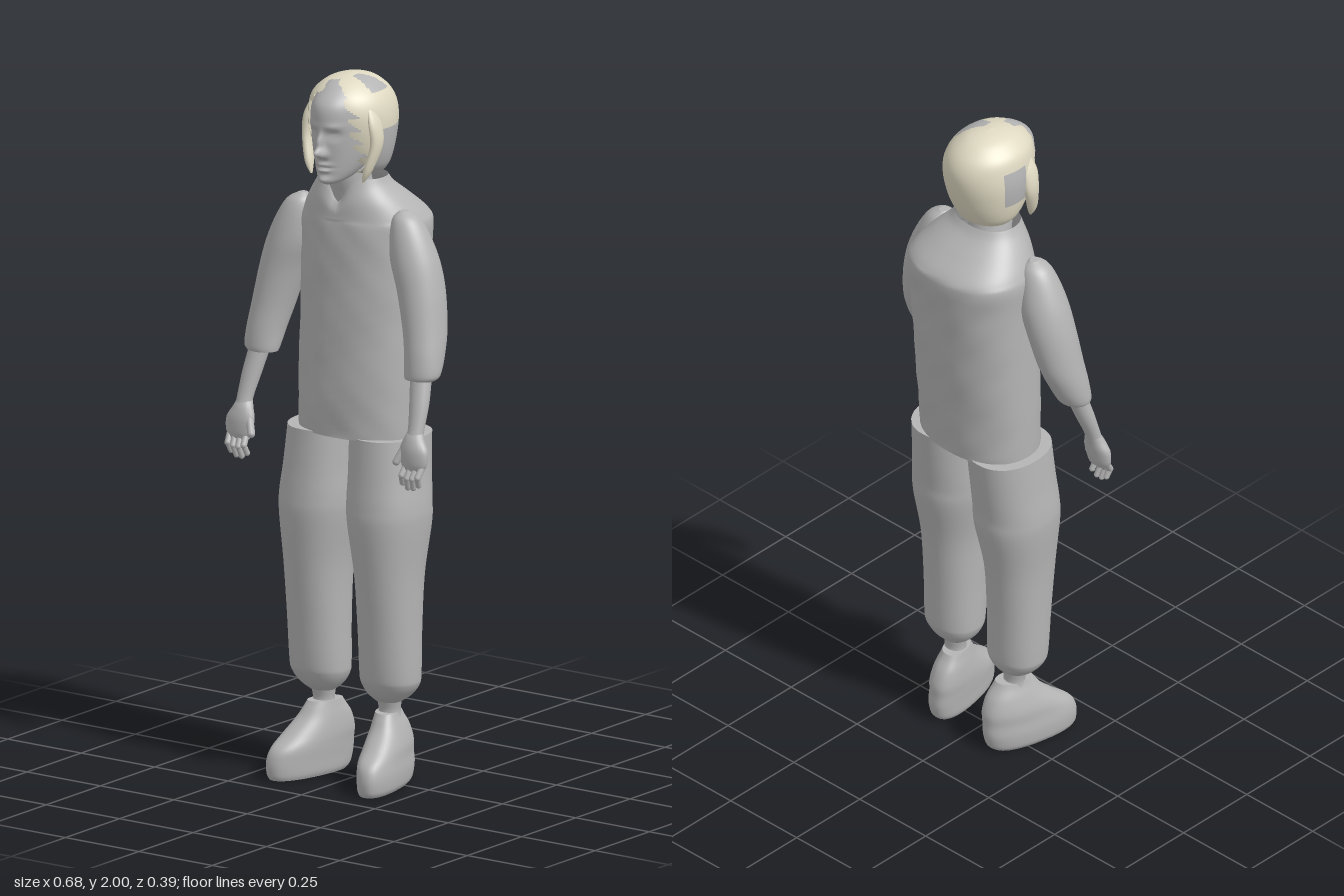
import * as THREE from 'three';

const grey = new THREE.MeshStandardMaterial({ color: 0xb4b4b4, side: THREE.DoubleSide });
grey.name = 'plain grey';
const blond = new THREE.MeshStandardMaterial({ color: 0xdfd9c2, side: THREE.DoubleSide });
blond.name = 'pale blond';

// One Catmull-Rom value per column of the section table
function sample(rows, t) {
  const n = rows.length - 1, i = Math.min(Math.floor(t * n), n - 1), f = t * n - i;
  const at = k => rows[Math.max(0, Math.min(n, k))];
  const [a, b, c, d] = [at(i - 1), at(i), at(i + 1), at(i + 2)];
  return b.map((v, k) => v + 0.5 * f * (c[k] - a[k] + f * (2 * a[k] - 5 * v + 4 * c[k] - d[k]
    + f * (3 * (v - c[k]) + d[k] - a[k]))));
}

// Skin through horizontal sections [y, centre x, centre z, radius x, radius z], lowest first.
// square < 1 flattens the sides, warp moves a vertex, pick chooses material 0 or 1, or -1 for a gap.
function loft(rows, { segs = 32, steps = 6, square = 1, warp, pick = () => 0, top = true, bottom = true } = {}) {
  const m = (rows.length - 1) * steps, pos = [], faces = [[], []], p = new THREE.Vector3();
  const pw = v => Math.sign(v) * Math.abs(v) ** square;
  for (let j = 0; j <= m; j++) {
    const [y, cx, cz, rx, rz] = sample(rows, j / m);
    for (let i = 0; i < segs; i++) {
      const a = i / segs * Math.PI * 2;
      p.set(cx + Math.max(rx, 0) * pw(Math.cos(a)), y, cz + Math.max(rz, 0) * pw(Math.sin(a)));
      if (warp) warp(p, j / m);
      pos.push(p.x, p.y, p.z);
    }
  }
  for (let j = 0; j < m; j++) for (let i = 0; i < segs; i++) {
    const k = (i + 1) % segs, a = j * segs + i, b = j * segs + k;
    const group = pick(pos[a * 3], pos[a * 3 + 1], pos[a * 3 + 2]);
    if (group >= 0) faces[group].push(a, a + segs, b, b, a + segs, b + segs);
  }
  // Flat ends get their own ring so the rim stays sharp
  for (const [on, j, up] of [[bottom, 0, false], [top, m, true]]) {
    if (!on) continue;
    const s = pos.length / 3, ring = pos.slice(j * segs * 3, (j + 1) * segs * 3);
    const mid = [0, 1, 2].map(c => ring.reduce((sum, v, q) => q % 3 === c ? sum + v : sum, 0) / segs);
    pos.push(...ring, ...mid);
    for (let i = 0; i < segs; i++) {
      const k = s + (i + 1) % segs;
      faces[0].push(s + segs, ...(up ? [k, s + i] : [s + i, k]));
    }
  }
  const g = new THREE.BufferGeometry();
  g.setAttribute('position', new THREE.Float32BufferAttribute(pos, 3));
  g.setIndex([...faces[0], ...faces[1]]);
  g.addGroup(0, faces[0].length, 0);
  g.addGroup(faces[0].length, faces[1].length, 1);
  g.computeVertexNormals();
  return g;
}

function add(parent, name, geometry, material = grey) {
  const mesh = new THREE.Mesh(geometry, material);
  mesh.name = name;
  parent.add(mesh);
  return mesh;
}

// Rounded finger between two points
function finger(parent, name, from, to, r) {
  const a = new THREE.Vector3(...from), b = new THREE.Vector3(...to), d = b.clone().sub(a);
  const mesh = add(parent, name, new THREE.CapsuleGeometry(r, d.length(), 5, 10));
  mesh.position.copy(a).add(b).multiplyScalar(0.5);
  mesh.quaternion.setFromUnitVectors(new THREE.Vector3(0, 1, 0), d.normalize());
}

const bump = (p, x, y, sx, sy) => Math.exp(-(((p.x - x) / sx) ** 2) - ((p.y - y) / sy) ** 2);

function makeTorso(g) {
  add(g, 'tunic', loft([
    [0.985, 0.008, -0.015, 0.182, 0.128], [1.1, 0.008, -0.018, 0.184, 0.135], [1.3, 0.008, -0.03, 0.184, 0.142],
    [1.48, 0.008, -0.04, 0.185, 0.148], [1.57, 0.006, -0.047, 0.187, 0.151], [1.605, 0.005, -0.044, 0.176, 0.144],
    [1.65, 0.003, -0.02, 0.145, 0.117], [1.69, 0, 0.0, 0.112, 0.088], [1.715, 0, 0.006, 0.098, 0.075],
  ], {
    segs: 64, square: 0.88, top: false,
    warp(p, t) { // soft cloth ripples and the open neckline
      const r = 0.002 * Math.sin(p.y * 42 + p.x * 17) * Math.sin(p.x * 38 + p.y * 13);
      if (t < 0.6 && t > 0) p.z += Math.sign(p.z) * r;
      if (p.z > 0 && p.y > 1.6) p.y -= 0.07 * Math.exp(-((p.x / 0.03) ** 2)) * (p.y - 1.6) / 0.115;
    },
  }));
  add(g, 'neck', loft([[1.58, 0, 0, 0.07, 0.06], [1.66, 0, 0.012, 0.064, 0.06],
    [1.72, 0, 0.025, 0.056, 0.06], [1.8, 0, 0.03, 0.055, 0.06]]));
}

function makeHead(g) {
  add(g, 'head', loft([
    [1.705, 0, 0.118, 0.008, 0.012], [1.715, 0, 0.105, 0.032, 0.042], [1.735, 0, 0.08, 0.052, 0.07],
    [1.77, 0, 0.055, 0.069, 0.097], [1.82, 0, 0.038, 0.081, 0.12], [1.88, 0, 0.033, 0.086, 0.131],
    [1.93, 0, 0.028, 0.083, 0.13], [1.965, 0, 0.022, 0.066, 0.102], [1.985, 0, 0.018, 0.042, 0.066],
    [1.993, 0, 0.015, 0.001, 0.001],
  ], {
    segs: 112, steps: 9,
    warp(p) { // nose, eye sockets, lids, brows, lips and chin
      if (p.z < 0.06) return;
      const side = { x: Math.abs(p.x), y: p.y };
      p.z += 0.034 * bump(p, 0, 1.802, 0.013, 0.014) + 0.02 * bump(p, 0, 1.832, 0.009, 0.022)
        + 0.01 * bump(side, 0.013, 1.795, 0.007, 0.008)
        - 0.013 * bump(side, 0.033, 1.852, 0.017, 0.012) + 0.007 * bump(side, 0.034, 1.85, 0.011, 0.006)
        + 0.005 * bump(side, 0.035, 1.876, 0.022, 0.008)
        + 0.011 * bump(p, 0, 1.766, 0.022, 0.006) + 0.012 * bump(p, 0, 1.75, 0.019, 0.006)
        - 0.005 * bump(p, 0, 1.758, 0.024, 0.003) + 0.01 * bump(p, 0, 1.722, 0.022, 0.012);
    },
  }));

  // Hair cap, open over the face, with bare grey patches
  const window = (x, y, z) => {
    const jag = 0.012 * Math.sin(y * 160 + x * 60);
    const w = y < 1.9 ? 0.08 : 0.08 - (y - 1.9) * 0.75;
    return z > 0.055 && Math.abs(x) < w + jag;
  };
  const bare = (x, y, z) =>
    (x < -0.05 && z > -0.035 && z < 0.045 && y > 1.8 && y < 1.915)
    || (x > 0.04 && z > -0.07 && z < 0.05 && y < 1.86)
    || (x > 0.02 && z < 0.04 && z > 0.03 - x && y > 1.955);
  add(g, 'hair', loft([
    [1.73, 0, -0.002, 0.085, 0.07], [1.755, 0, 0.002, 0.102, 0.088], [1.8, 0, 0.007, 0.114, 0.112],
    [1.86, 0, 0.01, 0.12, 0.131], [1.91, 0, 0.012, 0.115, 0.135], [1.95, -0.003, 0.014, 0.1, 0.12],
    [1.98, -0.004, 0.014, 0.068, 0.085], [1.994, -0.004, 0.012, 0.036, 0.045], [2, -0.004, 0.01, 0.001, 0.001],
  ], {
    segs: 96, steps: 8, bottom: false,
    pick: (x, y, z) => window(x, y, z) ? -1 : bare(x, y, z) ? 0 : 1,
  }), [grey, blond]);
  for (const s of [-1, 1]) {
    add(g, 'side lock', loft([[1.715, s * 0.088, 0.085, 0.003, 0.004], [1.75, s * 0.1, 0.078, 0.012, 0.016],
      [1.82, s * 0.116, 0.06, 0.014, 0.024], [1.88, s * 0.11, 0.06, 0.012, 0.026], [1.93, s * 0.092, 0.06, 0.005, 0.012]],
    { segs: 14 }), blond);
  }
}

function makeArm(g, s) {
  const arm = new THREE.Group();
  arm.name = s > 0 ? 'leftArm' : 'rightArm';
  g.add(arm);
  const o = 0.006; // the body sits a touch to its left
  const rows = list => list.map(([y, x, ...rest]) => [y, s * x + o, ...rest]);
  add(arm, 'sleeve', loft(rows([
    [1.185, 0.268, 0.073, 0.046, 0.038], [1.2, 0.272, 0.068, 0.053, 0.046], [1.25, 0.268, 0.053, 0.056, 0.057],
    [1.32, 0.256, 0.035, 0.06, 0.066], [1.42, 0.234, 0.022, 0.066, 0.07], [1.5, 0.21, 0.018, 0.069, 0.068],
    [1.57, 0.192, 0.018, 0.056, 0.055], [1.615, 0.18, 0.018, 0.038, 0.038], [1.635, 0.172, 0.018, 0.012, 0.014],
  ])));
  add(arm, 'forearm', loft(rows([
    [1.02, 0.291, 0.135, 0.024, 0.022], [1.06, 0.291, 0.122, 0.024, 0.021],
    [1.13, 0.284, 0.098, 0.029, 0.026], [1.22, 0.27, 0.07, 0.032, 0.028]]), { segs: 20 }));
  add(arm, 'palm', loft(rows([
    [0.945, 0.296, 0.143, 0.034, 0.014], [0.965, 0.298, 0.142, 0.042, 0.02], [1.0, 0.295, 0.139, 0.045, 0.023],
    [1.03, 0.291, 0.133, 0.032, 0.022], [1.05, 0.291, 0.125, 0.023, 0.02]]), { segs: 20 }));
  [0.327, 0.309, 0.291, 0.273].forEach((x, i) => {
    const len = [0.045, 0.055, 0.056, 0.045][i];
    finger(arm, 'finger', [s * x + o, 0.96, 0.142], [s * (x - 0.004) + o, 0.955 - len * 0.55, 0.16], 0.0095);
    finger(arm, 'fingertip', [s * (x - 0.004) + o, 0.955 - len * 0.55, 0.16],
      [s * (x - 0.008) + o, 0.952 - len, 0.15], 0.0085);
  });
  finger(arm, 'thumb', [s * 0.268 + o, 1.015, 0.137], [s * 0.247 + o, 0.965, 0.155], 0.011);
}

function makeLeg(g, s) {
  const leg = new THREE.Group();
  leg.name = s > 0 ? 'leftLeg' : 'rightLeg';
  g.add(leg);
  const o = 0.004;
  const rows = list => list.map(([y, x, ...rest]) => [y, s * x + o, ...rest]);
  add(leg, 'trouser leg', loft(rows([
    [0.235, 0.112, 0.003, 0.036, 0.034], [0.255, 0.115, 0.003, 0.062, 0.055], [0.285, 0.118, 0.004, 0.082, 0.071],
    [0.32, 0.119, 0.006, 0.086, 0.077], [0.45, 0.12, 0.01, 0.087, 0.085], [0.6, 0.12, 0.012, 0.092, 0.099],
    [0.74, 0.116, 0.006, 0.109, 0.12], [0.8, 0.114, 0.004, 0.111, 0.121], [0.88, 0.11, -0.004, 0.106, 0.122],
    [0.99, 0.105, -0.014, 0.102, 0.124],
  ]), { segs: 40, square: 0.9 }));
  add(leg, 'ankle', loft(rows([[0.19, 0.112, 0, 0.034, 0.032], [0.215, 0.112, 0, 0.032, 0.028],
    [0.26, 0.113, 0.002, 0.04, 0.038]]), { segs: 20 }));
  // Shoe turned outward by shearing along its length
  add(leg, 'shoe', loft(rows([
    [0, 0.124, 0.05, 0.046, 0.125], [0.015, 0.125, 0.046, 0.053, 0.136], [0.05, 0.125, 0.042, 0.056, 0.141],
    [0.085, 0.122, 0.036, 0.056, 0.134], [0.12, 0.12, 0.015, 0.055, 0.112], [0.16, 0.116, 0.0, 0.047, 0.082],
    [0.19, 0.113, 0, 0.038, 0.06], [0.205, 0.112, 0, 0.034, 0.05],
  ]), { segs: 40, square: 0.85, warp: p => { p.x += s * (p.z - 0.02) * 0.2; } }));
}

export function createModel() {
  const model = new THREE.Group();
  model.name = 'standing figure';
  makeTorso(model);
  makeHead(model);
  for (const s of [-1, 1]) {
    makeArm(model, s);
    makeLeg(model, s);
  }
  return model;
}
